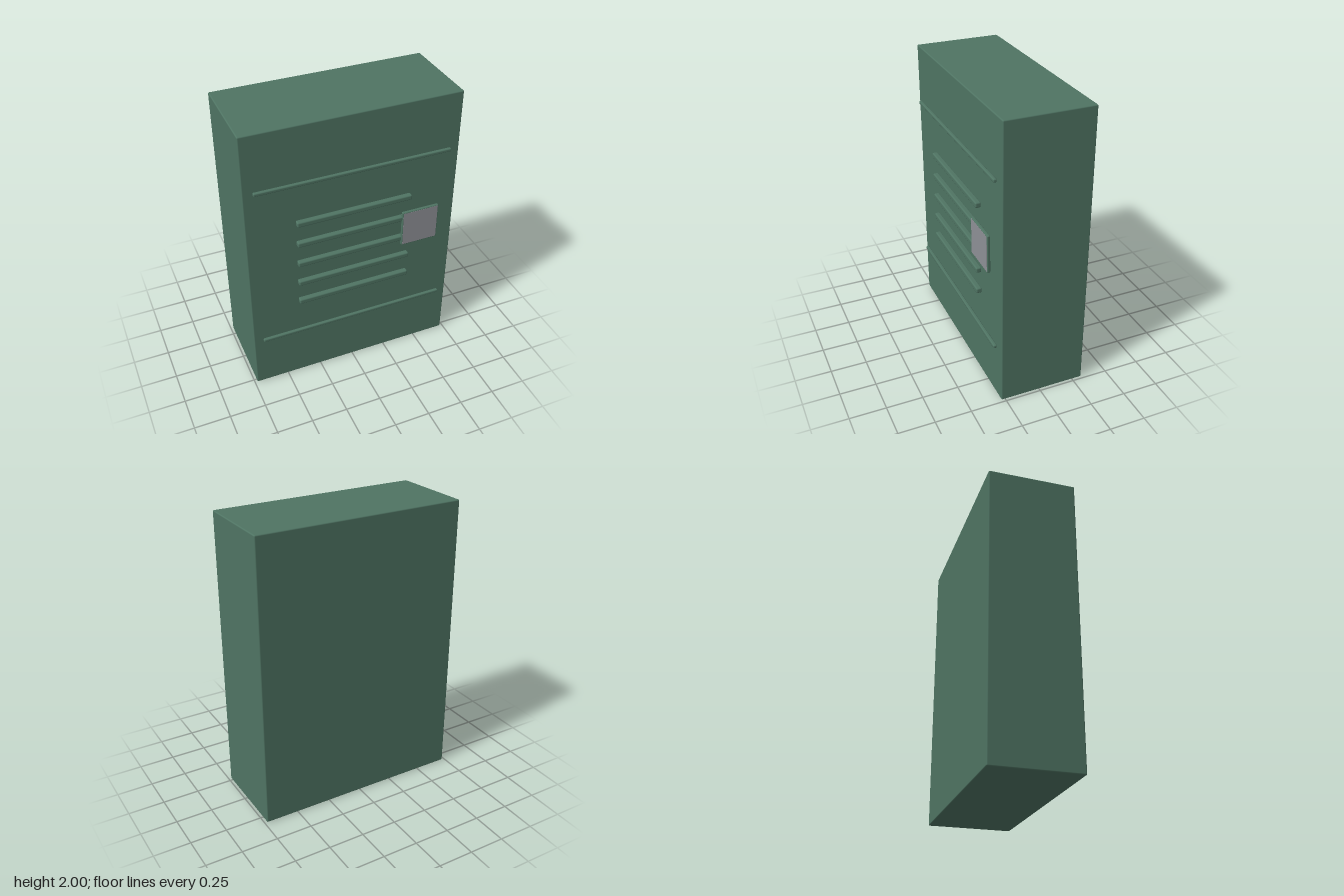
import * as THREE from 'three';
import { RoundedBoxGeometry } from 'three/addons/geometries/RoundedBoxGeometry.js';

export function createModel() {
  const group = new THREE.Group();
  const green = new THREE.MeshStandardMaterial({ color: 0x4f7463 });
  green.name = 'cabinet green';
  const grey = new THREE.MeshStandardMaterial({ color: 0x8e9096 });
  grey.name = 'plate grey';

  // Rounded box given by its extents on each axis
  function box(name, [x0, x1], [y0, y1], [z0, z1], radius, material = green) {
    const geometry = new RoundedBoxGeometry(x1 - x0, y1 - y0, z1 - z0, 2, radius);
    const mesh = new THREE.Mesh(geometry, material);
    mesh.name = name;
    mesh.position.set((x0 + x1) / 2, (y0 + y1) / 2, (z0 + z1) / 2);
    group.add(mesh);
    return mesh;
  }

  // Cabinet body
  box('cabinet', [-0.732, 0.732], [0, 2], [-0.319, 0.277], 0.008);

  // Long thin trim ribs near the top and bottom of the front
  for (const y of [0.402, 1.604]) {
    box('trimRib', [-0.668, 0.664], [y - 0.012, y + 0.012], [0.281, 0.305], 0.008);
  }

  // Five vent slats
  for (let i = 0; i < 5; i++) {
    const y = 0.67 + i * 0.16;
    box('ventSlat', [-0.402, 0.398], [y - 0.019, y + 0.019], [0.273, 0.312], 0.01);
  }

  // Control plate: green rim with a grey front face
  box('controlPlate', [0.332, 0.598], [0.937, 1.203], [0.296, 0.318], 0.007);
  const face = new THREE.Mesh(new THREE.BoxGeometry(0.252, 0.252, 0.002), grey);
  face.name = 'controlPlateFace';
  face.position.set(0.465, 1.07, 0.318);
  group.add(face);

  return group;
}
